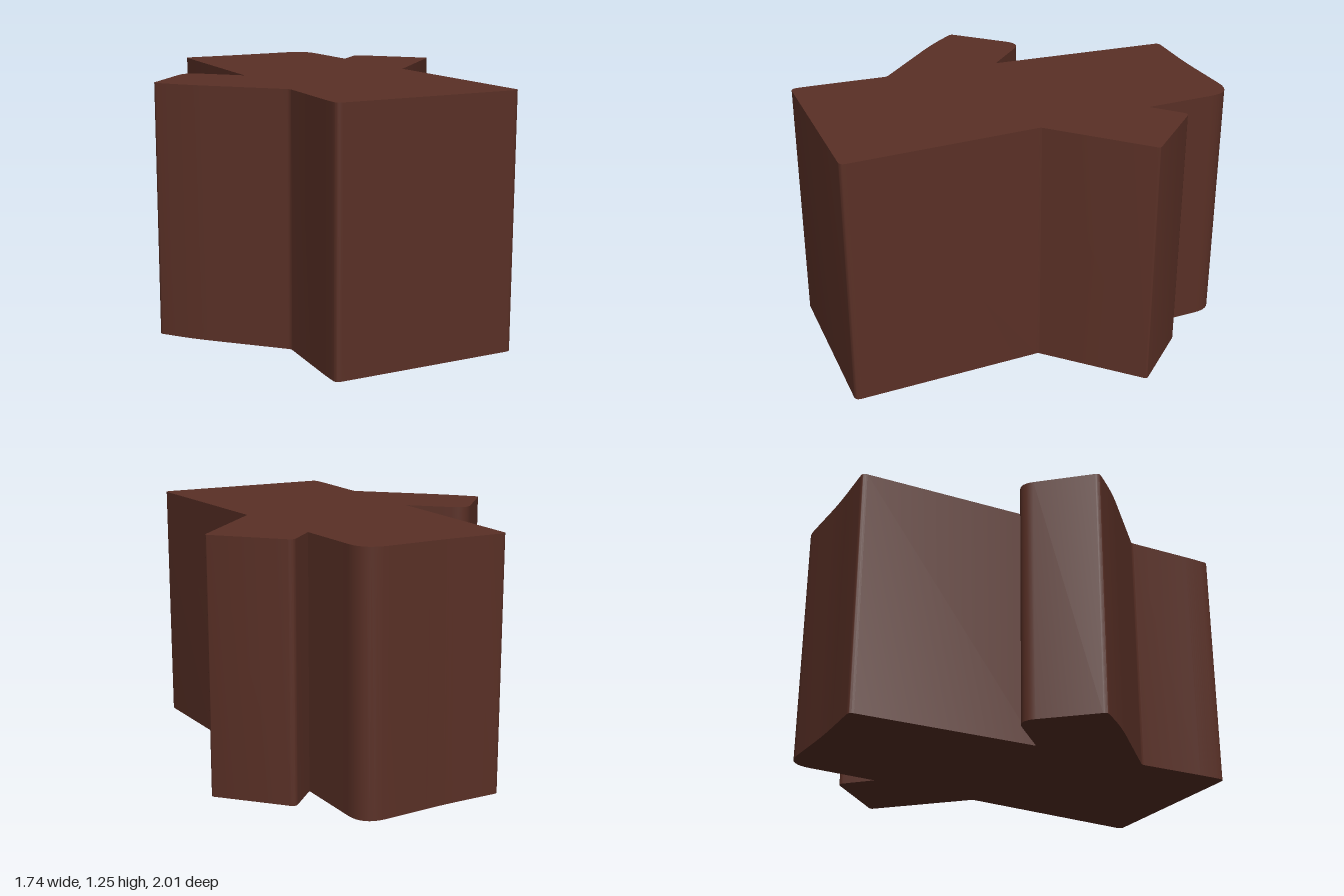
import * as THREE from 'three';
import { toCreasedNormals } from 'three/addons/utils/BufferGeometryUtils.js';

// Plan outline corners: x, z, rounding distance
const corners = [
  // rear end of the trunk
  [-0.33, -0.995, 0.025], [-0.02, -0.99, 0.1], [0.425, -1.012, 0.13], [0.428, -0.86, 0.03],
  // left branch
  [0.44, -0.54, 0], [0.583, -0.68, 0.03], [0.876, -0.375, 0.018], [0.472, 0.035, 0.008],
  // front end of the trunk
  [0.52, 1, 0.03], [-0.42, 1, 0.03], [-0.42, 0.9, 0.05], [-0.402, 0.51, 0.015],
  // right branch
  [-0.76, 0.155, 0.1], [-0.88, 0.003, 0.022], [-0.602, -0.3, 0.085], [-0.375, -0.07, 0],
];

// Closed shape whose corners are replaced by short curves
function roundedShape(points) {
  const shape = new THREE.Shape();
  const v = points.map(([x, z]) => new THREE.Vector2(x, -z));
  const n = v.length;
  points.forEach(([, , r], i) => {
    const p = v[i];
    const toward = (q) => p.clone().add(q.clone().sub(p).setLength(r));
    const a = r ? toward(v[(i + n - 1) % n]) : p;
    const b = r ? toward(v[(i + 1) % n]) : p;
    if (i === 0) shape.moveTo(a.x, a.y);
    else shape.lineTo(a.x, a.y);
    if (r) shape.quadraticCurveTo(p.x, p.y, b.x, b.y);
  });
  shape.closePath();
  return shape;
}

export function createModel() {
  const group = new THREE.Group();
  const bark = new THREE.MeshStandardMaterial({ color: 0x5a3026 });
  bark.name = 'dark brown';

  // Upright block with the outline of a trunk and two cut branches
  const geometry = new THREE.ExtrudeGeometry(roundedShape(corners), {
    depth: 1.245, bevelEnabled: false, curveSegments: 8,
  });
  geometry.rotateX(-Math.PI / 2);

  const log = new THREE.Mesh(toCreasedNormals(geometry, 0.6), bark);
  log.name = 'branchedLog';
  group.add(log);
  return group;
}
